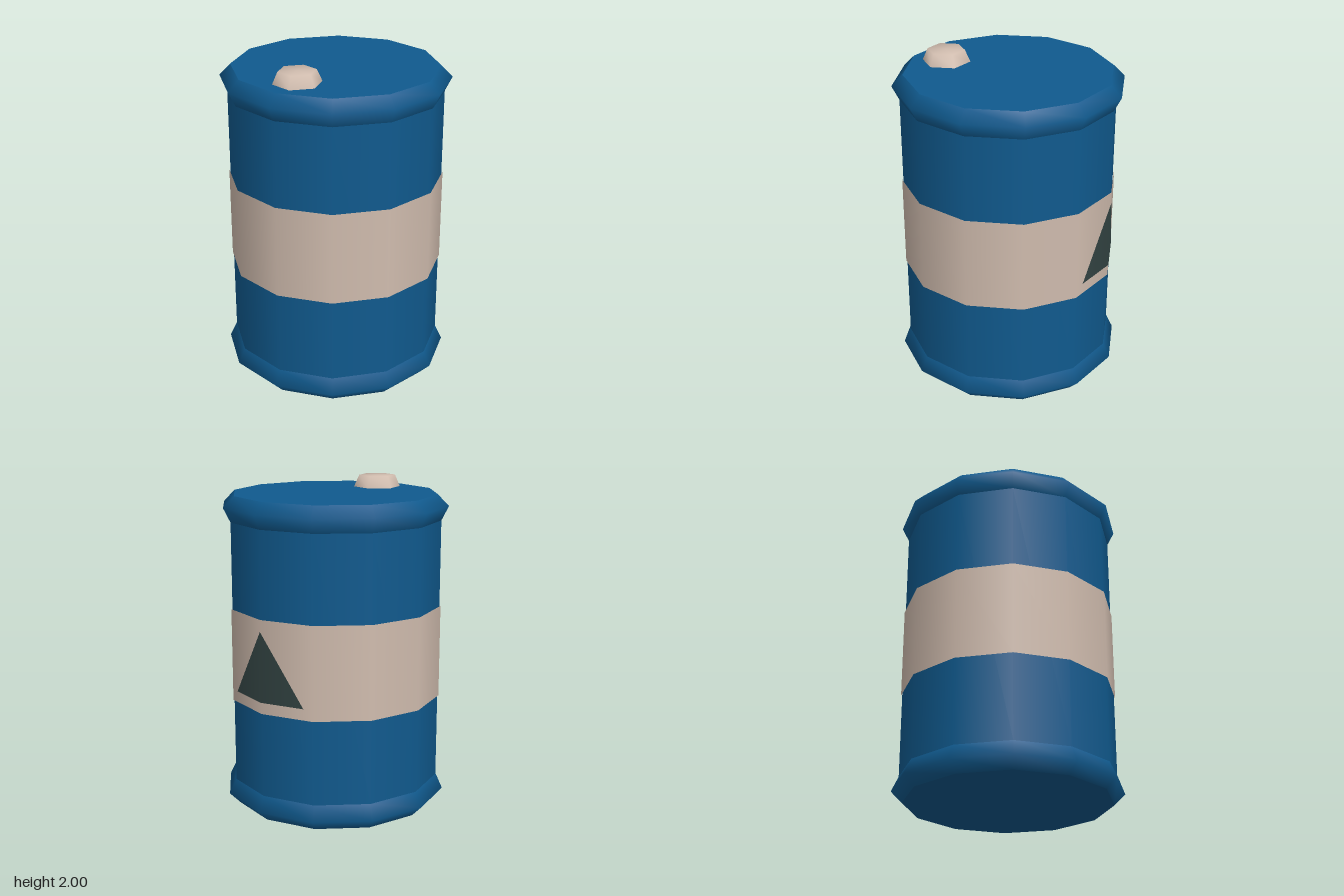
import * as THREE from 'three';

const SIDES = 12;
const FLAT = 1 / Math.cos(Math.PI / SIDES); // flat-to-corner radius factor

export function createModel() {
  const blue = new THREE.MeshStandardMaterial({ color: 0x105a8e });
  blue.name = 'drum blue';
  const beige = new THREE.MeshStandardMaterial({ color: 0xd0bcae });
  beige.name = 'band beige';
  const dark = new THREE.MeshStandardMaterial({ color: 0x334443, side: THREE.DoubleSide });
  dark.name = 'sign dark green';

  const group = new THREE.Group();
  group.name = 'barrel';
  const add = (name, geometry, material) => {
    const mesh = new THREE.Mesh(geometry, material);
    mesh.name = name;
    group.add(mesh);
    return mesh;
  };

  // Twelve-sided shell; profile radii are measured to the flats
  const shell = (profile) => new THREE.LatheGeometry(
    profile.map(([r, y]) => new THREE.Vector2(r * FLAT, y)), SIDES, Math.PI / SIDES);

  add('body', shell([[0.628, 0.16], [0.628, 1.773]]), blue);
  add('bottomRim', shell([[0.605, 0], [0.67, 0.068], [0.628, 0.16]]), blue);
  add('topRim', shell([[0.628, 1.773], [0.67, 1.86], [0.605, 1.928]]), blue);
  add('band', shell([[0.635, 0.68], [0.635, 1.25]]), beige);

  // End discs
  for (const [name, y, turn] of [['lid', 1.928, -1], ['base', 0, 1]]) {
    const disc = new THREE.CircleGeometry(0.605 * FLAT, SIDES, Math.PI / SIDES);
    disc.rotateX(turn * Math.PI / 2);
    add(name, disc, blue).position.y = y;
  }

  // Hexagonal filler cap with softened shading
  const cap = new THREE.LatheGeometry(
    [[0.145, 0], [0.113, 0.072], [0, 0.072]].map(([r, y]) => new THREE.Vector2(r, y)),
    6, Math.PI / 6);
  add('fillerCap', cap, beige).position.set(0.105, 1.928, 0.395);

  // Warning triangle folded over one rear corner of the band
  const corner = (degrees, y) => {
    const a = THREE.MathUtils.degToRad(degrees);
    return new THREE.Vector3(Math.sin(a), 0, Math.cos(a)).multiplyScalar(0.639 * FLAT).setY(y);
  };
  const apex = corner(195, 1.18);
  const fold = corner(195, 0.75);
  const reach = (degrees) => {
    const next = corner(degrees, 0.75);
    return fold.clone().add(next.sub(fold).setLength(0.28));
  };
  const sign = new THREE.BufferGeometry().setFromPoints([apex, reach(165), fold, reach(225)]);
  sign.setIndex([0, 1, 2, 0, 2, 3]);
  sign.computeVertexNormals();
  add('warningTriangle', sign, dark);

  return group;
}
